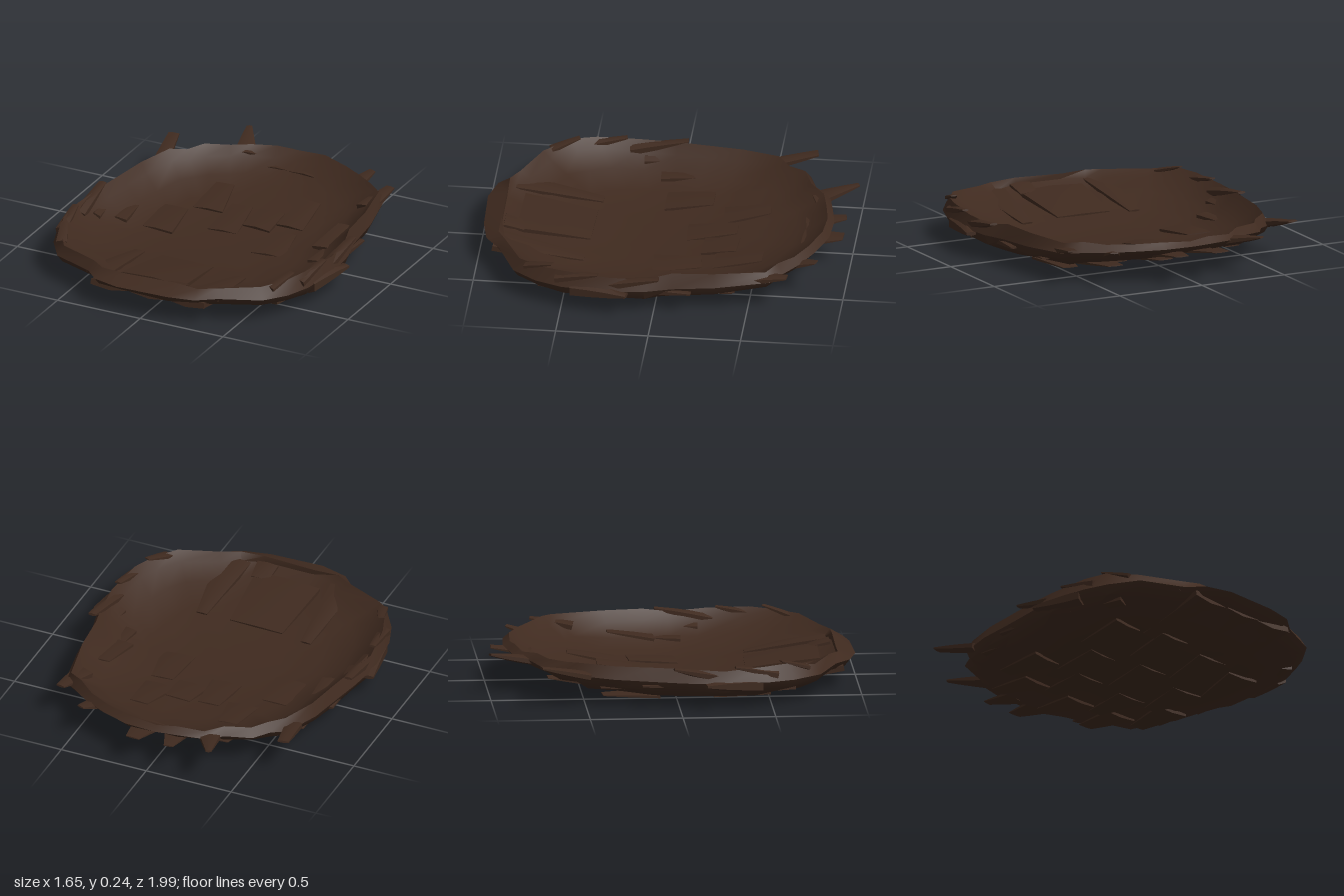
import * as THREE from 'three';
import { toCreasedNormals } from 'three/addons/utils/BufferGeometryUtils.js';

// piecewise linear interpolation through [z, y] pairs
function profile(pts, z) {
  if (z <= pts[0][0]) return pts[0][1];
  for (let i = 1; i < pts.length; i++) {
    const [z0, y0] = pts[i - 1], [z1, y1] = pts[i];
    if (z <= z1) return y0 + (y1 - y0) * (z - z0) / (z1 - z0);
  }
  return pts[pts.length - 1][1];
}
const RIM = [[-0.9, 0.222], [-0.5, 0.225], [-0.1, 0.22], [0.1, 0.2], [0.4, 0.215], [0.6, 0.225], [0.75, 0.205], [0.9, 0.195]];
const FLOOR = [[-0.55, 0.07], [-0.36, 0.055], [-0.2, 0.04], [0.1, 0.035], [0.4, 0.05], [0.6, 0.08]];
const EDGE = [[-0.9, 0.195], [-0.5, 0.16], [0, 0.14], [0.6, 0.14], [1, 0.155]];
const BOTTOM = [[-0.9, 0.145], [-0.6, 0.07], [-0.4, 0.038], [-0.1, 0.018], [0.1, 0.013], [0.4, 0.018], [0.8, 0.04], [0.95, 0.075]];

// outline of the shell seen from above, from the back round by the left
const OUTLINE = [
  [0, -0.9], [0.17, -0.89], [0.33, -0.83], [0.46, -0.76], [0.56, -0.68], [0.65, -0.62],
  [0.71, -0.33], [0.73, -0.1], [0.77, 0.05], [0.79, 0.25], [0.76, 0.5], [0.71, 0.64],
  [0.62, 0.77], [0.4, 0.87], [0.3, 0.95], [0.15, 0.98], [-0.15, 0.99], [-0.3, 0.95],
  [-0.38, 0.87], [-0.62, 0.77], [-0.72, 0.62], [-0.77, 0.48], [-0.8, 0.25], [-0.77, 0.03],
  [-0.74, -0.15], [-0.71, -0.35], [-0.64, -0.56], [-0.56, -0.62], [-0.5, -0.72], [-0.36, -0.77],
  [-0.27, -0.85], [-0.12, -0.88]
];

// rings: scale of the outline, blend between two heights
const INNER = [[0, 0], [0.35, 0], [0.6, 0.08], [0.78, 0.32], [0.9, 0.7], [0.96, 1]];
const OUTER = [[1, 0], [0.97, 0.38], [0.86, 0.74], [0.68, 0.93], [0.35, 1], [0, 1]];

// shallow bowl: floor up to the rim, over the edge and back under the bottom
function bodyGeometry() {
  const pos = [], index = [], n = OUTLINE.length;
  INNER.forEach(([t, k], r) => OUTLINE.forEach(([ox, oz], j) => {
    const z = Math.min(oz * t, 0.885), f = profile(FLOOR, z);
    const wave = t > 0.7 ? 0.006 * Math.sin(j * 2.3 + r) : 0;
    pos.push(ox * t, f + (profile(RIM, oz) - f) * k + wave, z);
  }));
  OUTER.forEach(([t, k], r) => OUTLINE.forEach(([ox, oz], j) => {
    const z = oz * t, e = profile(EDGE, oz);
    const wave = t > 0.7 && k > 0 ? 0.007 * Math.sin(j * 2.7 + r * 1.9) : 0;
    pos.push(ox * t, e + (profile(BOTTOM, z) - e) * k + wave, z);
  }));
  const last = INNER.length + OUTER.length - 2;
  for (let r = 0; r <= last; r++) {
    for (let j = 0; j < n; j++) {
      const p = r * n + j, q = r * n + (j + 1) % n;
      if (r < last) index.push(p, q + n, p + n);
      if (r > 0) index.push(p, q, q + n);
    }
  }
  const g = new THREE.BufferGeometry();
  g.setAttribute('position', new THREE.Float32BufferAttribute(pos, 3));
  g.setIndex(index);
  return toCreasedNormals(g, 0.7);
}

// flattened, blunt-tipped lock running from base to tip
function lockGeometry(base, tip, baseWidth, tipWidth, thick) {
  const a = new THREE.Vector3(...base), dir = new THREE.Vector3(...tip).sub(a), len = dir.length();
  dir.normalize();
  const side = new THREE.Vector3().crossVectors(dir, new THREE.Vector3(0, 1, 0)).normalize();
  const up = new THREE.Vector3().crossVectors(side, dir);
  const g = new THREE.CylinderGeometry(1, 1, 1, 6, 3);
  const p = g.attributes.position;
  for (let i = 0; i < p.count; i++) {
    const t = p.getY(i) + 0.5;
    const w = (baseWidth + (tipWidth - baseWidth) * t) / 2;
    const h = thick / 2 * (1 - 0.75 * t * t);
    p.setXYZ(i, p.getX(i) * w, t * len, p.getZ(i) * h);
  }
  g.applyMatrix4(new THREE.Matrix4().makeBasis(side, dir, up).setPosition(a));
  return toCreasedNormals(g, 0.8);
}

export function createModel() {
  const brown = new THREE.MeshStandardMaterial({ color: 0x3f2a1f });
  brown.name = 'dark brown';
  const model = new THREE.Group();
  model.name = 'shaggyShell';
  const body = new THREE.Mesh(bodyGeometry(), brown);
  body.name = 'body';
  model.add(body);

  function locks(name, list) {
    const group = new THREE.Group();
    group.name = name;
    for (const spec of list) {
      const mesh = new THREE.Mesh(lockGeometry(...spec), brown);
      mesh.name = 'lock';
      group.add(mesh);
    }
    model.add(group);
  }

  // spiky fringe along the back: base, tip, base width, tip width, thickness
  locks('backFringe', [
    [[-0.27, 0.17, -0.76], [-0.365, 0.225, -0.995], 0.15, 0.035, 0.05],
    [[-0.64, 0.16, -0.48], [-0.69, 0.22, -0.74], 0.1, 0.07, 0.05],
    [[-0.08, 0.135, -0.74], [-0.11, 0.165, -0.955], 0.18, 0.06, 0.03],
    [[0.09, 0.135, -0.74], [0.1, 0.165, -0.96], 0.2, 0.09, 0.03],
    [[0.4, 0.15, -0.7], [0.455, 0.2, -0.85], 0.13, 0.05, 0.04],
    [[0.6, 0.16, -0.48], [0.635, 0.2, -0.71], 0.13, 0.06, 0.05]
  ]);

  // locks lying inside the bowl, their tips slightly lifted
  locks('innerLocks', [
    [[-0.33, 0.145, 0.85], [-0.32, 0.075, 0.38], 0.17, 0.07, 0.045],
    [[-0.03, 0.135, 0.8], [-0.02, 0.085, 0.4], 0.44, 0.36, 0.045],
    [[0.31, 0.145, 0.86], [0.31, 0.07, 0.42], 0.22, 0.07, 0.045],
    [[0.12, 0.165, 0.87], [0.12, 0.14, 0.76], 0.14, 0.12, 0.03],
    [[-0.25, 0.05, -0.28], [-0.27, 0.1, -0.53], 0.2, 0.12, 0.03],
    [[-0.07, 0.035, -0.1], [-0.085, 0.076, -0.37], 0.2, 0.14, 0.03],
    [[0.24, 0.05, -0.28], [0.25, 0.1, -0.54], 0.2, 0.12, 0.03],
    [[0.08, 0.045, -0.2], [0.09, 0.076, -0.39], 0.2, 0.17, 0.03],
    [[0.28, 0.032, 0.05], [0.26, 0.052, -0.21], 0.22, 0.14, 0.03],
    [[-0.4, 0.042, 0.05], [-0.4, 0.07, -0.21], 0.24, 0.16, 0.03],
    [[0.58, 0.095, -0.05], [0.57, 0.135, -0.3], 0.18, 0.09, 0.03]
  ]);

  // overlapping locks round the two sides
  for (const s of [1, -1]) {
    locks(s > 0 ? 'leftLocks' : 'rightLocks', [
      [[s * 0.73, 0.12, 0.44], [s * 0.8, 0.13, 0.14], 0.1, 0.06, 0.09],
      [[s * 0.74, 0.15, 0.28], [s * 0.755, 0.215, -0.03], 0.08, 0.05, 0.06],
      [[s * 0.63, 0.19, 0.7], [s * 0.69, 0.238, 0.55], 0.07, 0.04, 0.03],
      [[s * 0.72, 0.17, 0.53], [s * 0.75, 0.22, 0.3], 0.07, 0.04, 0.05],
      [[s * 0.69, 0.115, 0.2], [s * 0.72, 0.12, -0.2], 0.08, 0.05, 0.06],
      [[s * 0.59, 0.08, 0.62], [s * 0.71, 0.08, 0.25], 0.12, 0.07, 0.04],
      [[s * 0.6, 0.08, 0.1], [s * 0.63, 0.1, -0.42], 0.12, 0.08, 0.035]
    ]);
  }

  // rounded lumps under the front lip
  locks('frontLocks', [-0.23, 0.01, 0.23].map((x) =>
    [[x, 0.115, 0.91], [x * 1.1, 0.028, 0.48], 0.26, 0.16, 0.06]));

  // locks hanging under the shell, sweeping backward
  const under = [];
  for (const [x, z] of [[-0.45, 0.5], [-0.15, 0.55], [0.18, 0.5], [0.45, 0.45], [-0.3, 0.15], [0.02, 0.2],
    [0.35, 0.12], [-0.48, -0.1], [-0.14, -0.12], [0.2, -0.15], [0.47, -0.12], [-0.28, -0.38], [0.06, -0.4], [0.34, -0.38]]) {
    const tipZ = z - 0.3;
    under.push([[x, profile(BOTTOM, z) + 0.006, z], [x * 1.05, profile(BOTTOM, tipZ) - 0.008, tipZ], 0.22, 0.1, 0.026]);
  }
  locks('underLocks', under);
  return model;
}
